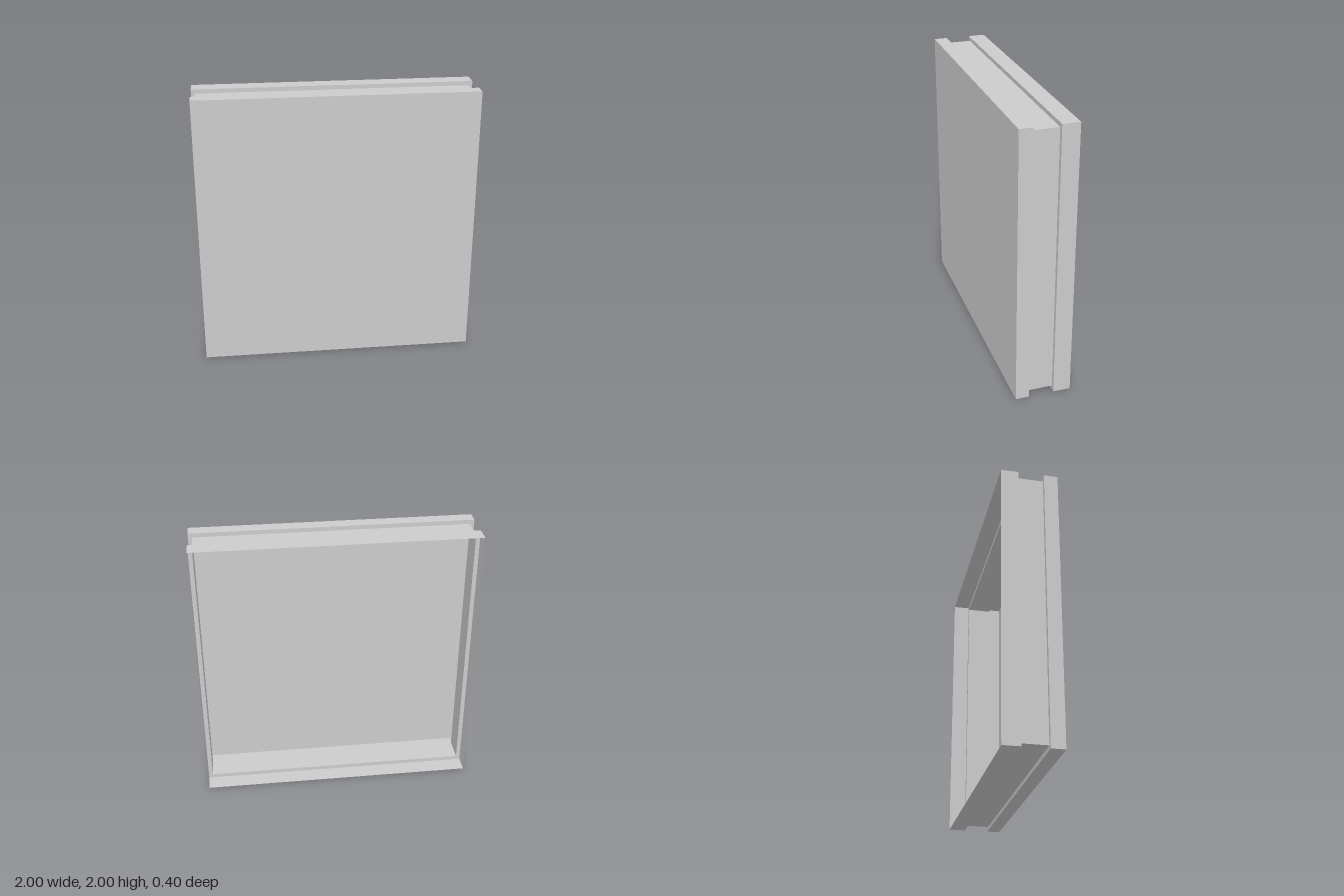
import * as THREE from 'three';

// Thin square pan: closed front panel, open back, stepped side walls with a groove around them
export function createModel() {
  const group = new THREE.Group();
  const material = new THREE.MeshStandardMaterial({ color: 0xcccccc, side: THREE.DoubleSide, flatShading: true });

  const half = 1, inset = 0.97;
  const back = -0.2, grooveBack = -0.077, grooveFront = 0.103, front = 0.2;

  const add = (name, geometry) => {
    const mesh = new THREE.Mesh(geometry, material);
    mesh.name = name;
    mesh.position.y = 1;
    group.add(mesh);
  };

  // Four-sided band around the z axis; profile is a list of [half width, z]
  const band = (profile) => {
    const points = profile.map(([w, z]) => new THREE.Vector2(w * Math.SQRT2, z));
    const geometry = new THREE.LatheGeometry(points, 4, Math.PI / 4).rotateX(Math.PI / 2).toNonIndexed();
    geometry.computeVertexNormals();
    return geometry;
  };

  add('backRim', band([[half, back], [half, grooveBack]]));
  add('groove', band([[half, grooveBack], [inset, grooveBack], [inset, grooveFront], [half, grooveFront]]));
  add('frontRim', band([[half, grooveFront], [half, front]]));
  add('frontPanel', new THREE.PlaneGeometry(2 * half, 2 * half).translate(0, 0, front));

  return group;
}
